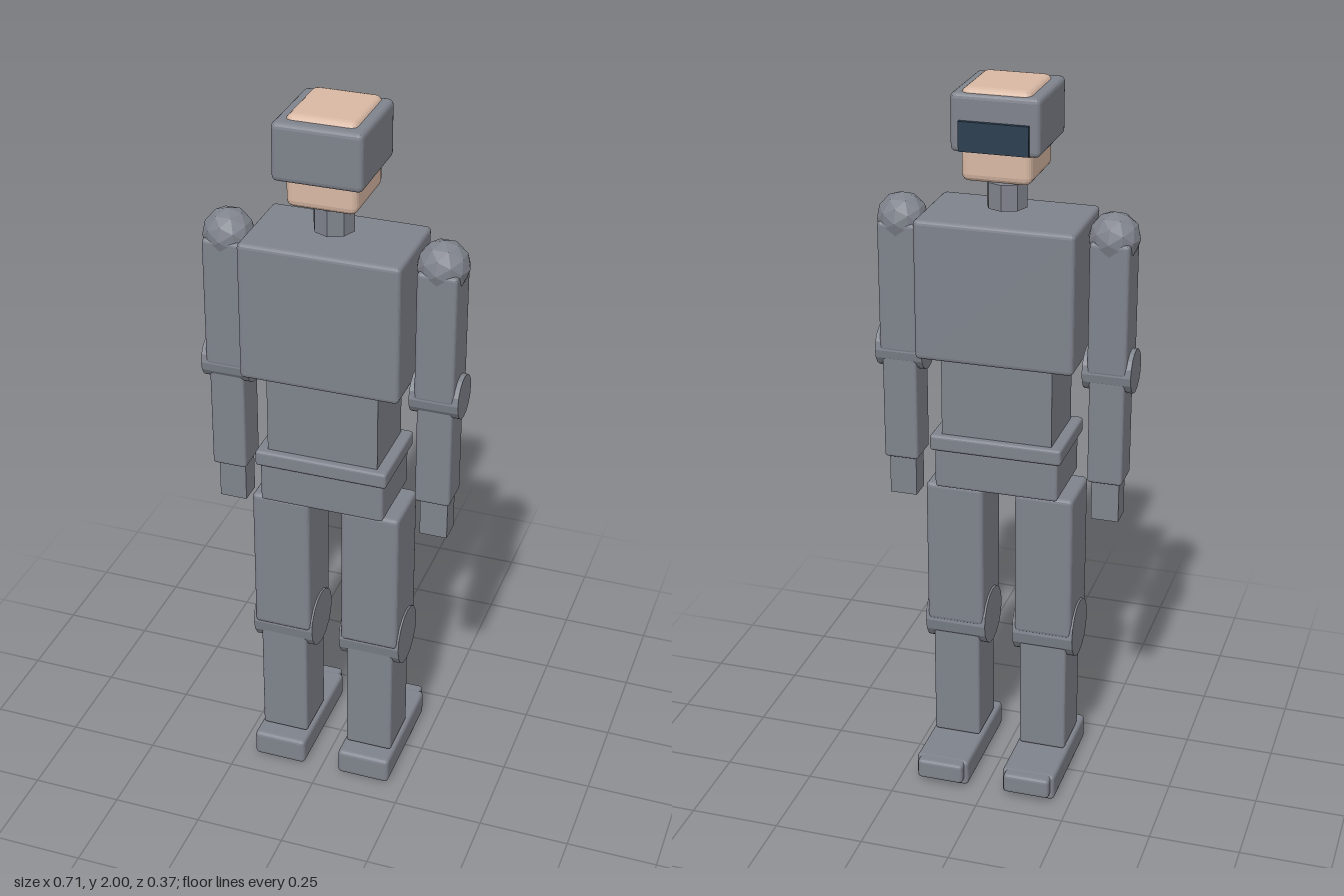
import * as THREE from 'three';
import { RoundedBoxGeometry } from 'three/addons/geometries/RoundedBoxGeometry.js';

const Z = 0.052; // depth of the body's centre line

export function createModel() {
  const model = new THREE.Group();
  model.name = 'blockFigure';
  const suit = new THREE.MeshStandardMaterial({ color: 0x7f838c, flatShading: true });
  const skin = new THREE.MeshStandardMaterial({ color: 0xd8b8a4, flatShading: true });
  const glass = new THREE.MeshStandardMaterial({ color: 0x2c3e50, flatShading: true });

  const add = (name, geometry, x, y, z, material = suit, parent = model) => {
    const mesh = new THREE.Mesh(geometry, material);
    mesh.name = name;
    mesh.position.set(x, y, z);
    parent.add(mesh);
    return mesh;
  };
  // Bevelled block given by its x centre, width, y range and z range
  const block = (name, x, w, y0, y1, z0, z1, r = 0.01, material = suit, parent = model) =>
    add(name, new RoundedBoxGeometry(w, y1 - y0, z1 - z0, 2, r),
      x, (y0 + y1) / 2, (z0 + z1) / 2, material, parent);
  // Hinge disc with its axis across the body
  const hinge = (name, x, y, r, w, parent) => {
    const geometry = new THREE.CylinderGeometry(r, r, w, 16).rotateZ(Math.PI / 2);
    return add(name, geometry, x, y, Z, suit, parent);
  };

  // Head, with the helmet band and the visor on the -z side
  block('head', 0, 0.186, 1.757, 2.0, -0.055, 0.155, 0.02, skin);
  block('helmet', 0, 0.236, 1.835, 1.988, -0.063, 0.185, 0.014);
  add('visor', new THREE.BoxGeometry(0.184, 0.078, 0.03), 0, 1.88, -0.059, glass);
  add('neck', new THREE.CylinderGeometry(0.055, 0.055, 0.07, 8), 0, 1.704, Z);

  // Trunk
  block('chest', 0, 0.432, 1.265, 1.65, -0.081, 0.183, 0.012);
  add('abdomen', new THREE.BoxGeometry(0.306, 0.23, 0.2), 0, 1.155, Z);
  block('belt', 0, 0.366, 0.997, 1.042, -0.067, 0.173, 0.008);
  block('pelvis', 0, 0.344, 0.885, 1.0, -0.057, 0.163, 0.008);

  for (const side of [1, -1]) {
    const label = side > 0 ? 'left' : 'right';

    // Arm
    const arm = new THREE.Group();
    arm.name = label + 'Arm';
    model.add(arm);
    const ax = side * 0.288;
    add('shoulder', new THREE.IcosahedronGeometry(0.069, 1), ax, 1.611, 0.051, suit, arm);
    block('upperArm', ax, 0.106, 1.245, 1.61, -0.008, 0.112, 0.01, suit, arm);
    hinge('elbow', ax, 1.247, 0.06, 0.132, arm);
    block('forearm', ax, 0.096, 0.93, 1.25, -0.003, 0.1, 0.008, suit, arm);
    add('hand', new THREE.BoxGeometry(0.076, 0.13, 0.064), ax, 0.88, 0.045, suit, arm);

    // Leg
    const leg = new THREE.Group();
    leg.name = label + 'Leg';
    model.add(leg);
    const lx = side * 0.127;
    block('thigh', lx, 0.163, 0.45, 0.88, -0.031, 0.139, 0.012, suit, leg);
    hinge('knee', lx, 0.447, 0.083, 0.174, leg);
    block('shin', lx, 0.134, 0.08, 0.46, -0.022, 0.129, 0.008, suit, leg);
    block('foot', lx, 0.152, 0, 0.078, -0.165, 0.18, 0.012, suit, leg);
    block('toeCap', lx, 0.132, 0.018, 0.077, -0.189, -0.09, 0.01, suit, leg);
  }
  return model;
}
